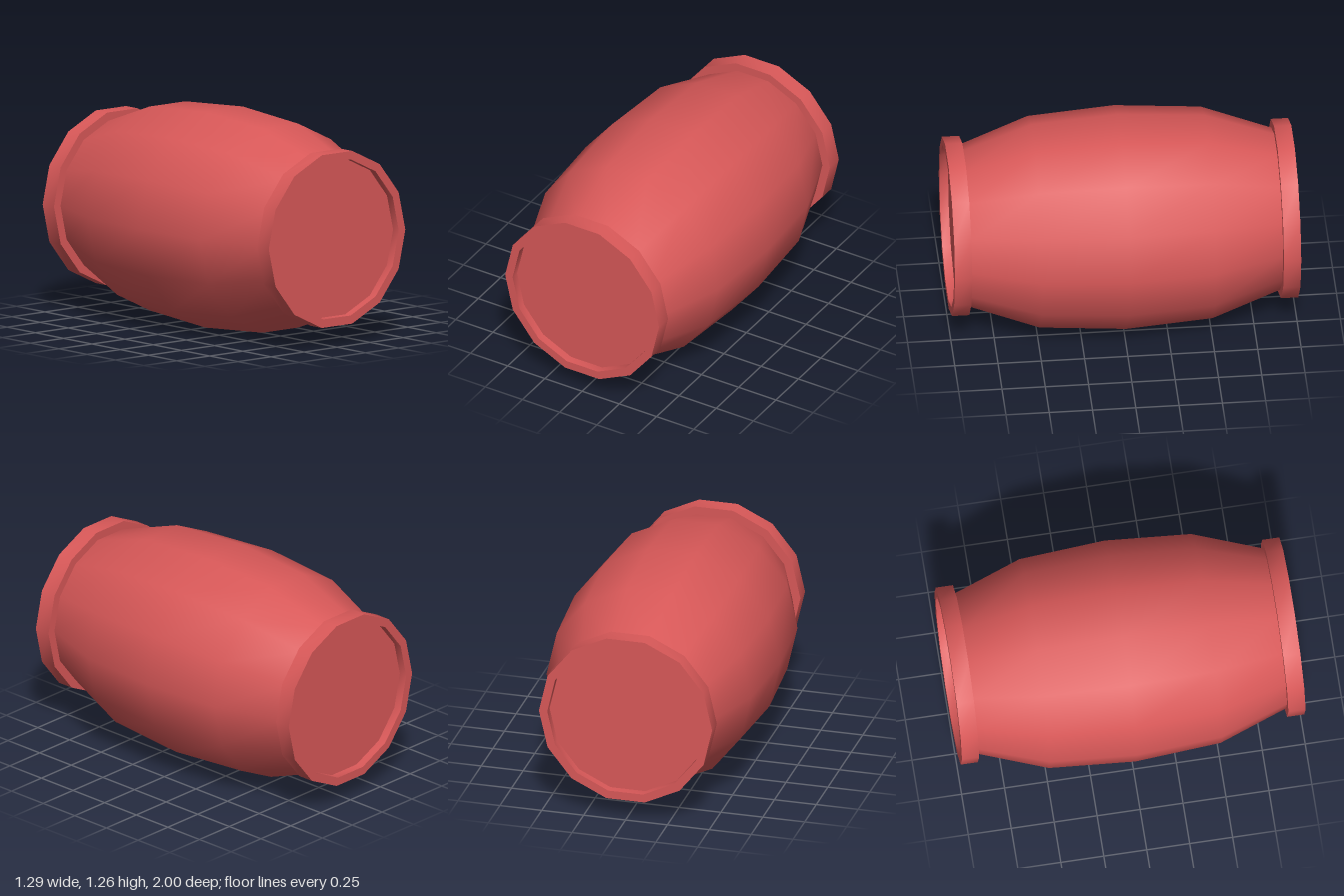
import * as THREE from 'three';
import { toCreasedNormals } from 'three/addons/utils/BufferGeometryUtils.js';

const SIDES = 14;
const CENTRE_Y = 0.63;
const END_R = 0.467;
const RIM_R = 0.517;

// Revolves a [radius, z] profile around the z axis, with corners on the x axis
function revolve(profile) {
  const points = profile.map(([r, z]) => new THREE.Vector2(r, z));
  const geometry = new THREE.LatheGeometry(points, SIDES, Math.PI / 2);
  geometry.rotateX(Math.PI / 2);
  return toCreasedNormals(geometry, 0.6);
}

export function createModel() {
  const model = new THREE.Group();
  model.name = 'barrel';
  const red = new THREE.MeshStandardMaterial({ color: 0xd85858 });

  const add = (name, geometry, parent) => {
    const mesh = new THREE.Mesh(geometry, red);
    mesh.name = name;
    parent.add(mesh);
    return mesh;
  };

  // Bulging body lying along z
  const body = add('body', revolve([
    [END_R, -0.9], [0.61, -0.5], [0.645, 0], [0.61, 0.5], [END_R, 0.9],
  ]), model);
  body.position.y = CENTRE_Y;

  // Raised rim and recessed lid at each end
  const rimGeometry = revolve([
    [END_R, 0.9], [RIM_R, 0.9], [RIM_R, 1], [END_R, 1], [END_R, 0.95],
  ]);
  const lidGeometry = new THREE.CircleGeometry(END_R, SIDES);
  lidGeometry.translate(0, 0, 0.95);

  for (const [name, turn] of [['frontEnd', 0], ['backEnd', Math.PI]]) {
    const end = new THREE.Group();
    end.name = name;
    end.position.y = CENTRE_Y;
    end.rotation.y = turn;
    add('rim', rimGeometry, end);
    add('lid', lidGeometry, end);
    model.add(end);
  }
  return model;
}
